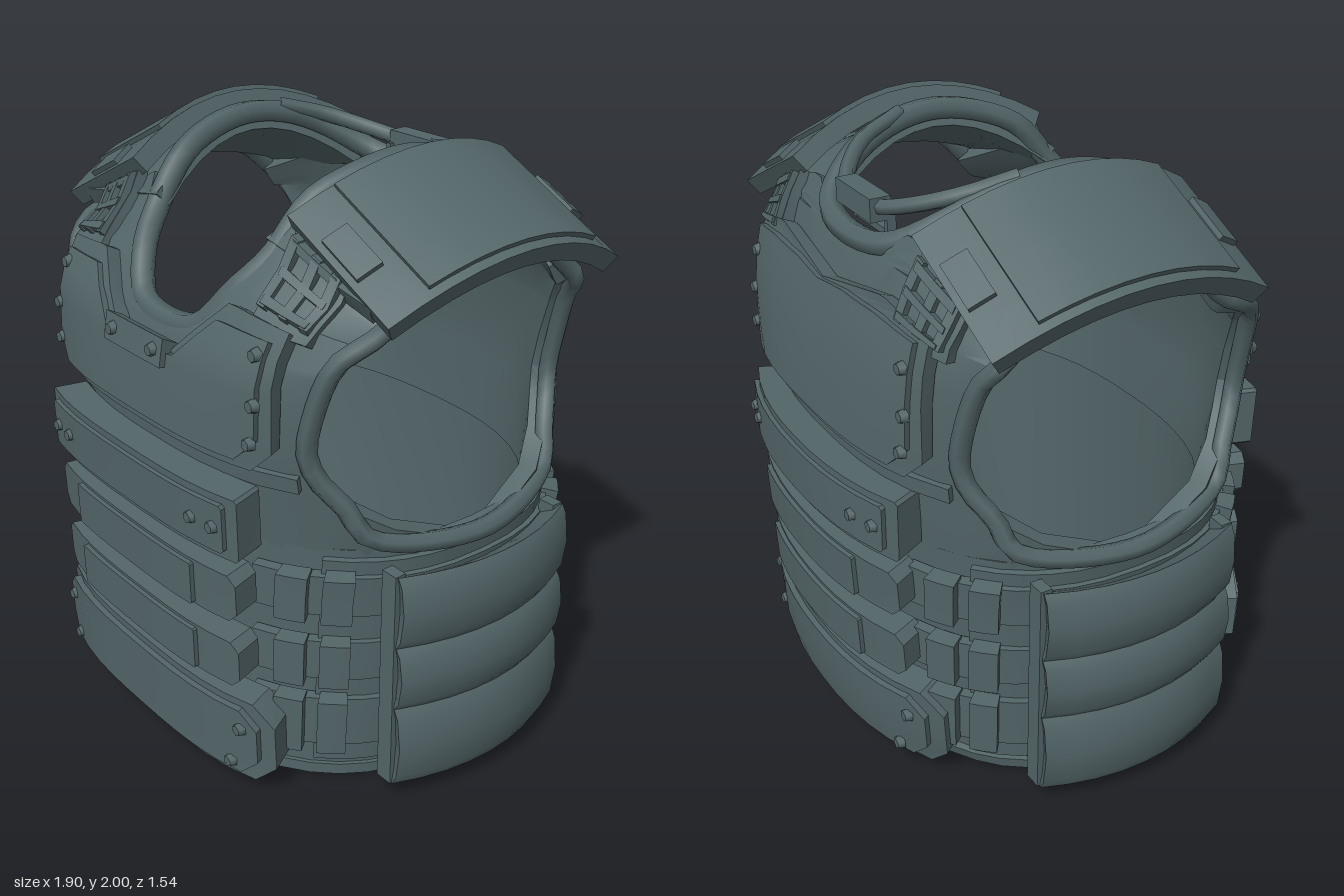
import * as THREE from 'three';
import { toCreasedNormals } from 'three/addons/utils/BufferGeometryUtils.js';

const V = (x, y, z) => new THREE.Vector3(x, y, z);
const lerp = THREE.MathUtils.lerp;

// piecewise linear profile through [key, value] pairs
function profile(...pts) {
  return (k) => {
    if (k <= pts[0][0]) return pts[0][1];
    for (let i = 1; i < pts.length; i++) {
      const [a, p] = pts[i - 1], [b, q] = pts[i];
      if (k <= b) return lerp(p, q, (k - a) / (b - a));
    }
    return pts[pts.length - 1][1];
  };
}

// torso measurements by height
const halfWidth = profile([0, 0.74], [0.75, 0.79], [0.9, 0.82], [1.2, 0.8], [1.65, 0.98], [1.85, 1]);
const frontDepth = profile([0, 0.62], [0.9, 0.63], [1.2, 0.64], [1.45, 0.61], [1.6, 0.53], [1.7, 0.44], [1.8, 0.37]);
const backDepth = profile([0, 0.55], [0.12, 0.6], [0.9, 0.63], [1.2, 0.63], [1.45, 0.6], [1.65, 0.55], [1.75, 0.51], [1.85, 0.45]);
const armEdge = profile([0.86, 0.81], [0.95, 0.76], [1.03, 0.68], [1.12, 0.63], [1.2, 0.61], [1.32, 0.63], [1.5, 0.69], [1.65, 0.74], [1.85, 0.74]);
const neckFront = profile([1.45, 0], [1.47, 0.14], [1.6, 0.25], [1.7, 0.31], [1.8, 0.36]);
const neckBack = profile([1.71, 0], [1.74, 0.19], [1.8, 0.29]);
const depth = (y, s) => (s > 0 ? frontDepth(y) : backDepth(y));

// roundness of the cross-section for the waist, chest and standing-off plates
const WAIST = 2.4;
const platePower = (s) => (s > 0 ? 3 : 2.3);
const shellPower = (y, s) => lerp(WAIST, s > 0 ? 3 : 2.8, THREE.MathUtils.clamp((y - 0.9) / 0.3, 0, 1));

// point on the front (s = 1) or back (s = -1), raised by o
function body(x, y, s, o = 0) {
  const p = o >= 0.1 ? platePower(s) : shellPower(y, s);
  const r = Math.min(1, Math.abs(x) / (halfWidth(y) + o));
  const z = (depth(y, s) + o) * Math.pow(1 - Math.pow(r, p), 1 / p);
  const slope = THREE.MathUtils.smoothstep(y, 1.5, 1.8) * Math.max(0, Math.abs(x) - 0.36) * 0.45;
  return V(s * x, y - slope, s * z);
}

// point around the waist; angle 0 is the front, 90 the left side
function ring(deg, y, o = 0) {
  const t = deg * Math.PI / 180, s = Math.cos(t) >= 0 ? 1 : -1, e = 2 / WAIST;
  return V(Math.sign(Math.sin(t)) * Math.abs(Math.sin(t)) ** e * (halfWidth(y) + o), y,
    s * Math.abs(Math.cos(t)) ** e * (depth(y, s) + o));
}

const steps = (n) => Array.from({ length: n + 1 }, (_, i) => i / n);

// closed slab below the surface fn(u, v)
function slab(fn, t, nu, nv) {
  const us = Array.isArray(nu) ? nu : steps(nu), vs = Array.isArray(nv) ? nv : steps(nv);
  const U = us.length, W = vs.length, N = U * W, top = [], low = [], idx = [];
  const c = (k) => Math.min(1, Math.max(0, k)), e = 0.002;
  for (const v of vs) for (const u of us) {
    const p = fn(u, v);
    const du = fn(c(u + e), v).sub(fn(c(u - e), v)), dv = fn(u, c(v + e)).sub(fn(u, c(v - e)));
    const q = p.clone().addScaledVector(du.cross(dv).normalize(), -t);
    top.push(...p.toArray());
    low.push(...q.toArray());
  }
  const quad = (a, b, d, f) => idx.push(a, b, d, a, d, f);
  const wall = (a, b) => quad(a, a + N, b + N, b);
  for (let j = 0; j < W - 1; j++) for (let i = 0; i < U - 1; i++) {
    const a = j * U + i, b = a + 1, d = b + U, f = a + U;
    quad(a, b, d, f);
    quad(a + N, f + N, d + N, b + N);
    if (j === 0) wall(a, b);
    if (j === W - 2) wall(d, f);
    if (i === 0) wall(f, a);
    if (i === U - 2) wall(b, d);
  }
  const g = new THREE.BufferGeometry();
  g.setAttribute('position', new THREE.Float32BufferAttribute(top.concat(low), 3));
  g.setIndex(idx);
  return toCreasedNormals(g, 0.5);
}

// left-right reflection with the corner order restored
function mirrored(geo) {
  const g = (geo.index ? geo.toNonIndexed() : geo.clone()).scale(-1, 1, 1);
  for (const a of Object.values(g.attributes)) for (let i = 0; i < a.count; i += 3)
    for (let k = 0; k < a.itemSize; k++) {
      const h = a.getComponent(i + 1, k);
      a.setComponent(i + 1, k, a.getComponent(i + 2, k));
      a.setComponent(i + 2, k, h);
    }
  return g;
}

export function createModel() {
  const group = new THREE.Group();
  const slate = new THREE.MeshStandardMaterial({ color: 0x536568 });
  slate.name = 'slate';
  const add = (name, geo) => {
    const m = new THREE.Mesh(geo, slate);
    m.name = name;
    group.add(m);
    return m;
  };
  const pair = (name, geo) => { add(name + 'Left', geo); add(name + 'Right', mirrored(geo)); };
  // plate on the body between two x edges, which may vary with height
  const patch = (s, x0, x1, ys, o, t, nu) => {
    const lo = ys[0], hi = ys[ys.length - 1], f = (k, y) => (typeof k === 'function' ? k(y) : k);
    return slab((u, v) => {
      const y = lerp(lo, hi, v);
      return body(lerp(f(x0, y), f(x1, y), u), y, s, o);
    }, t, nu, ys.map((y) => (y - lo) / (hi - lo)));
  };
  const chamfered = (s, w, y0, y1, c, o, t) => {
    const edge = (y) => w - Math.max(0, c - (y - y0), c - (y1 - y));
    return patch(s, (y) => -edge(y), edge, [y0, y0 + c, y1 - c, y1], o, t, 10);
  };
  const wrap = (a0, a1, y0, y1, o, t, n) =>
    slab((u, v) => ring(lerp(a0, a1, u), lerp(y0, y1, v), o), t, n, 2);
  const bolt = (x, y, s, o) => {
    const g = new THREE.CylinderGeometry(0.018, 0.025, 0.024, 6).rotateX(s * Math.PI / 2);
    add('bolt', g).position.copy(body(x, y, s, o));
  };

  // waist shell
  add('waistShell', wrap(-180, 180, 0, 0.88, 0, 0.05, 40));
  add('waistHem', wrap(-180, 180, 0.01, 0.05, 0.012, 0.03, 40));

  for (const s of [1, -1]) {
    const side = s > 0 ? 'front' : 'back', neck = s > 0 ? neckFront : neckBack;
    // upper panel
    const rows = [0.86, 0.95, 1.03, 1.12, 1.2, 1.32, 1.45, 1.47, 1.6, 1.71, 1.74, 1.8];
    pair(side + 'Panel', patch(s, neck, armEdge, rows, 0, 0.06, 8));
    // chest plate with raised face
    const inner = s > 0 ? profile([1.39, 0], [1.42, 0.15], [1.6, 0.33]) : profile([1.6, 0], [1.63, 0.2], [1.66, 0.33]);
    const top = s > 0 ? 1.6 : 1.66;
    for (const [inset, o] of [[0, 0.055], [0.035, 0.075]]) {
      const outer = (y) => 0.57 - inset - Math.max(0, 0.07 - (y - 1.15 - inset));
      const ys = [1.15 + inset, 1.22 + inset, 1.39, 1.42, 1.5, top - inset * 1.2];
      if (s < 0) ys.splice(2, 3, 1.4, 1.5, 1.6);
      pair(side + 'ChestPlate', patch(s, (y) => (inner(y) > 0 ? inner(y) + inset : 0), outer, ys, o, 0.05, 6));
    }
    add(side + 'PanelSeam', patch(s, -0.6, 0.6, [1.08, 1.13], 0.02, 0.04, 10));
    // waist bars and belly plate
    add(side + 'UpperBar', chamfered(s, 0.52, 0.87, 1.08, 0.01, 0.12, 0.11));
    add(side + 'UpperBarFace', chamfered(s, 0.48, 0.895, 1.055, 0.01, 0.135, 0.04));
    for (const y of [0.41, 0.65]) {
      add(side + 'WaistBar', chamfered(s, 0.5, y, y + 0.16, 0.03, 0.12, 0.1));
      add(side + 'WaistBarFace', chamfered(s, 0.33, y + 0.005, y + 0.15, 0.005, 0.135, 0.04));
    }
    add(side + 'BellyPlate', chamfered(s, 0.6, 0.06, 0.355, 0.07, 0.11, 0.1));
    add(side + 'BellyPlateFace', chamfered(s, 0.56, 0.09, 0.33, 0.06, 0.13, 0.04));
    for (const x of [-1, 1]) {
      for (const [k, y] of [[0.52, 1.25], [0.53, 1.37], [0.51, 1.51]]) bolt(x * k, y, s, 0.078);
      for (const k of [0.35, 0.44]) bolt(x * k, 0.975, s, 0.137);
      for (const [k, y] of [[0.46, 0.12], [0.5, 0.26]]) bolt(x * k, y, s, 0.132);
      if (s > 0) bolt(x * 0.11, 1.42, s, 0.098);
    }
    // shoulder webbing and buckle frame
    pair(side + 'Webbing', patch(s, 0.41, 0.62, [1.56, 1.65, 1.75, 1.82], 0.035, 0.04, 3));
    for (const y of [1.64, 1.72, 1.79]) pair(side + 'BuckleBar', patch(s, 0.43, 0.6, [y, y + 0.025], 0.065, 0.05, 2));
    for (const x of [0.42, 0.505, 0.58]) pair(side + 'BuckleSide', patch(s, x, x + 0.03, [1.63, 1.73, 1.82], 0.06, 0.05, 1));
  }
  add('chestTab', patch(1, -0.155, 0.155, [1.375, 1.465], 0.095, 0.06, 2));

  // waist webbing and side buckles
  for (const [y, h] of [[0.16, 0.18], [0.42, 0.14], [0.66, 0.14]]) {
    pair('waistWebbing', wrap(28, 152, y, y + h, 0.04, 0.035, 16));
    for (const a of [39, 51, 129, 141])
      pair('waistBuckle', wrap(a - 4, a + 4, y - 0.01, y + h + 0.01, 0.075, 0.06, 2));
  }
  pair('waistPad', wrap(46, 134, 0.08, 0.85, 0.02, 0.03, 12));

  // bowed side plates
  for (const [y0, y1] of [[0.08, 0.367], [0.367, 0.59], [0.59, 0.84]]) {
    pair('sidePlate', slab((u, v) => {
      const z = lerp(0.36, -0.35, u), bulge = 0.03 * Math.abs(2 * v - 1) ** 3;
      return V(0.95 - 0.085 * (z / 0.36) ** 2 - bulge, lerp(y0, y1, v), z);
    }, 0.1, 8, [0, 0.12, 0.5, 0.88, 1]));
  }
  for (const z of [0.345, -0.335])
    pair('sidePost', new THREE.BoxGeometry(0.06, 0.76, 0.04).translate(0.8, 0.46, z));

  // shoulder straps, narrowing the neck opening towards both ends, and arched pads
  const shoulder = (u, v) => {
    const z = lerp(0.41, -0.47, v), q = ((z + 0.03) / 0.45) ** 2;
    return V(lerp(0.38 - 0.1 * q, 0.74, u), 1.93 - 0.11 * q - 0.08 * q * (1 - u) - 0.16 * u, z);
  };
  pair('shoulderStrap', slab(shoulder, 0.06, 4, 10));
  const pad = (o) => (u, v) => {
    const z = lerp(0.42, -0.52, v), q = ((z + 0.05) / 0.47) ** 2;
    return V(0.47 + 0.43 * u - 0.07 * q + o * 0.4, 1.985 - 0.21 * u - 0.14 * q + o, z);
  };
  pair('shoulderPad', slab(pad(0), 0.065, 4, 10));
  pair('shoulderPadFace', slab((u, v) => pad(0.015)(0.02 + 0.92 * u, 0.14 + 0.72 * v), 0.04, 4, 8));
  for (const v0 of [0.01, 0.91])
    pair('shoulderPadClip', slab((u, v) => pad(0.018)(0.3 + 0.35 * u, v0 + 0.08 * v), 0.05, 2, 2));

  // armhole rims follow the panel edges over the shoulder
  const heights = [1.03, 1.12, 1.2, 1.32, 1.5, 1.65, 1.76];
  const edge = (s, hs, x, o) => hs.map((y) => {
    const p = body(x(y), y, s, o);
    return V(Math.abs(p.x), p.y, p.z);
  });
  const rim = [
    ...edge(1, heights, armEdge, -0.005),
    ...[0.25, 0.5, 0.75].map((v) => shoulder(1, v).add(V(0, -0.025, 0))),
    ...edge(-1, [...heights].reverse(), armEdge, -0.005),
    ...[[122, 0.93], [90, 0.875], [58, 0.93]].map(([a, y]) => ring(a, y, 0.01)),
  ];
  const loop = (pts, n, r, closed = true) =>
    new THREE.TubeGeometry(new THREE.CatmullRomCurve3(pts, closed, 'centripetal'), n, r, 6, closed);
  pair('armholeRim', loop(rim, 60, 0.032));

  // padded neck rim
  const half = [
    ...edge(1, [1.47, 1.6, 1.69], neckFront, -0.04),
    ...[0.15, 0.32, 0.5, 0.68, 0.85].map((v) => shoulder(0, v)),
    ...edge(-1, [1.74], neckBack, -0.02),
  ];
  const other = half.map((p) => V(-p.x, p.y, p.z)).reverse();
  add('neckRim', loop([...half, ...other], 72, 0.04));

  // rear collar band and drag handle
  const collar = [[0.37, 1.94, -0.15], [0.31, 1.895, -0.31], [0.2, 1.85, -0.42], [0.1, 1.825, -0.47]].map((p) => V(...p));
  add('collarBand', loop([...collar, ...collar.map((p) => V(-p.x, p.y, p.z)).reverse()], 24, 0.026, false));
  add('handleGrip', new THREE.BoxGeometry(0.23, 0.075, 0.07).translate(0, 1.82, -0.47));
  add('handleBar', new THREE.BoxGeometry(0.22, 0.022, 0.03).translate(0, 1.735, -0.43));
  pair('handleLink', new THREE.BoxGeometry(0.02, 0.09, 0.03).translate(0.105, 1.77, -0.435));

  return group;
}
